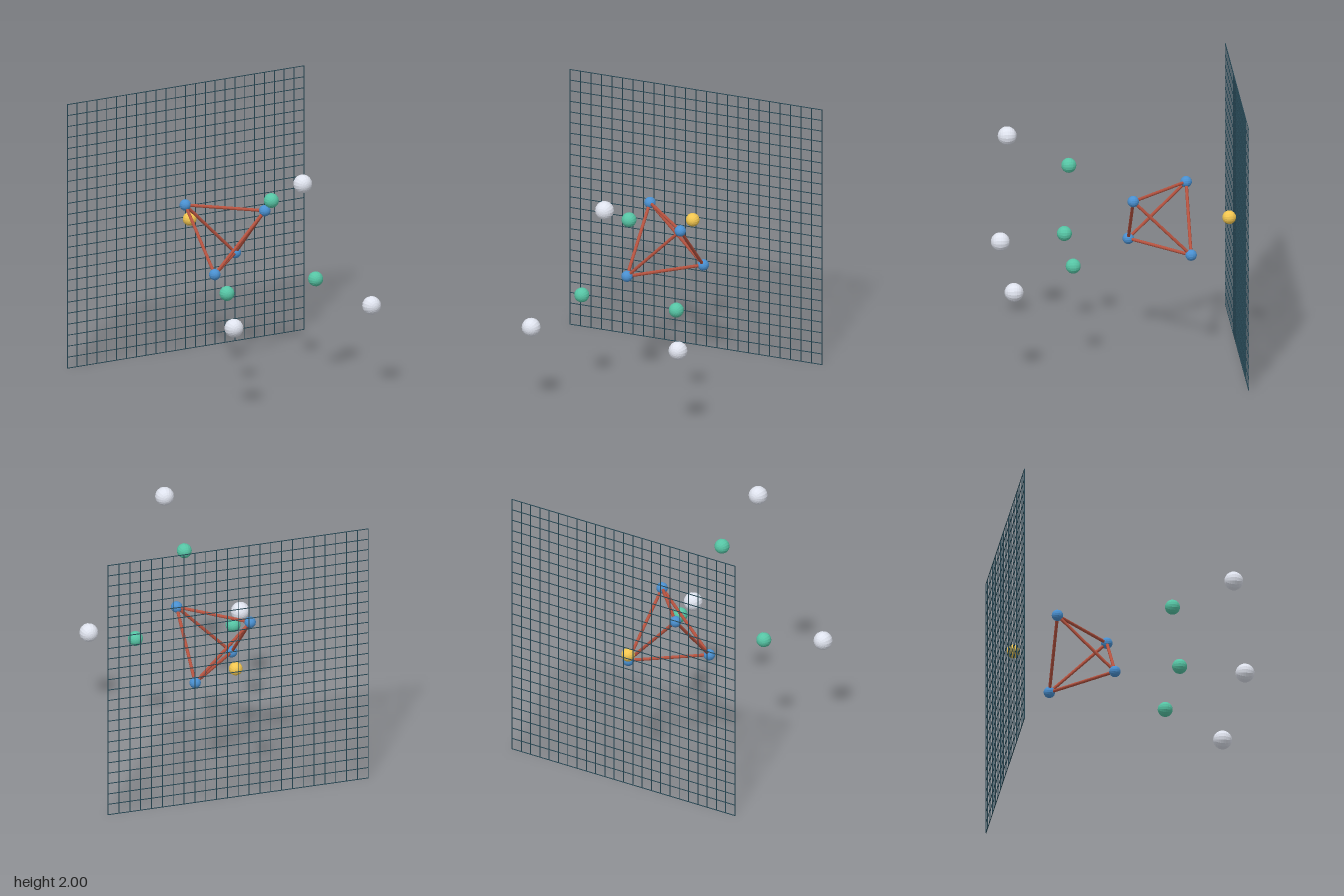
import * as THREE from 'three';

const material = (color) => new THREE.MeshStandardMaterial({ color, flatShading: true });

export function createModel() {
  const model = new THREE.Group();
  const group = (name) => {
    const g = new THREE.Group();
    g.name = name;
    model.add(g);
    return g;
  };
  const add = (parent, name, geometry, mat) => {
    const mesh = new THREE.Mesh(geometry, mat);
    mesh.name = name;
    parent.add(mesh);
    return mesh;
  };

  // A set of equal balls, with their poles along z
  const balls = (groupName, name, radius, color, points) => {
    const parent = group(groupName);
    const geometry = new THREE.SphereGeometry(radius, 16, 12).rotateX(Math.PI / 2);
    const mat = material(color);
    for (const p of points) add(parent, name, geometry, mat).position.set(...p);
  };

  // Back wall: square wire grid with 24 cells each way
  const grid = group('backGrid');
  const gridMat = material(0x264653);
  const wire = 0.005, cells = 24, half = 1 - wire / 2;
  const upright = new THREE.BoxGeometry(wire, 2, wire);
  const crossbar = new THREE.BoxGeometry(2, wire, wire);
  for (let i = 0; i <= cells; i++) {
    const t = half * (2 * i / cells - 1);
    add(grid, 'uprightWire', upright, gridMat).position.set(t, 1, -0.8725);
    add(grid, 'crossWire', crossbar, gridMat).position.set(0, 1 + t, -0.8725);
  }

  // Tetrahedron: alternate corners of a cube, joined by six rods
  const h = 0.211;
  const corners = [[1, 1, 1], [-1, 1, -1], [-1, -1, 1], [1, -1, -1]]
    .map(([x, y, z]) => [x * h, 1 + y * h, -0.308 + z * h]);
  balls('tetrahedronCorners', 'cornerBall', 0.042, 0x4a90d0, corners);

  const rods = group('tetrahedronRods');
  const rodMat = material(0xb5523f);
  const rodGeometry = new THREE.CylinderGeometry(0.0118, 0.0118, h * Math.SQRT2 * 2, 10);
  const up = new THREE.Vector3(0, 1, 0);
  for (let i = 0; i < 4; i++) {
    for (let j = i + 1; j < 4; j++) {
      const a = new THREE.Vector3(...corners[i]), b = new THREE.Vector3(...corners[j]);
      const rod = add(rods, 'edgeRod', rodGeometry, rodMat);
      rod.position.copy(a).add(b).multiplyScalar(0.5);
      rod.quaternion.setFromUnitVectors(up, b.sub(a).normalize());
    }
  }

  // Loose balls: one behind, and two triangles of three in front
  const triangle = (radius, z) => [90, 210, 330].map((deg) => {
    const a = THREE.MathUtils.degToRad(deg);
    return [radius * Math.cos(a), 1 + radius * Math.sin(a), z];
  });
  balls('rearBall', 'yellowBall', 0.05, 0xf2c650, [[0, 1, -0.815]]);
  balls('middleTriangle', 'greenBall', 0.055, 0x56c4a4, triangle(0.432, 0.355));
  balls('frontTriangle', 'paleBall', 0.069, 0xdfe3ee, triangle(0.671, 0.805));

  return model;
}
